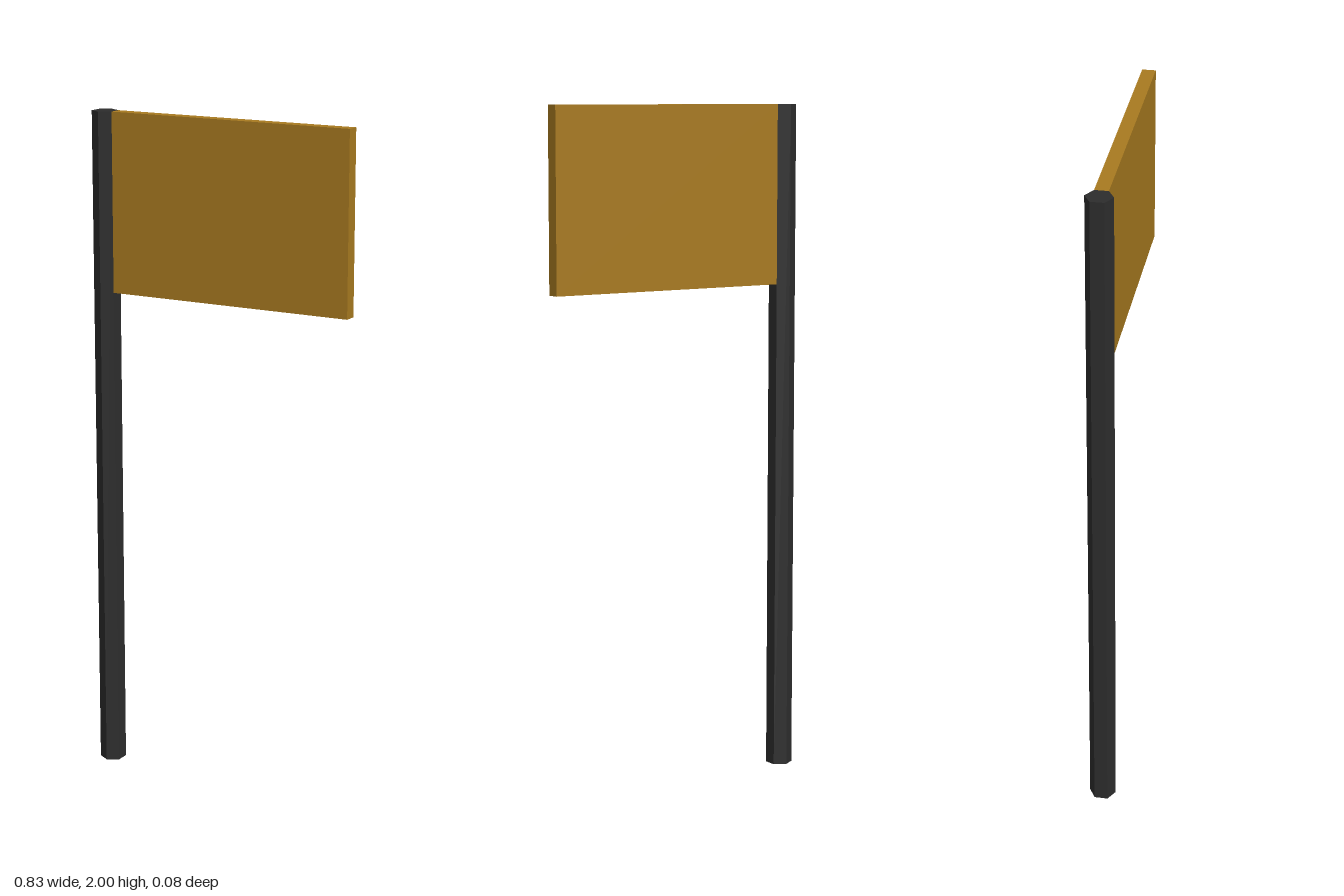
import * as THREE from 'three';

export function createModel() {
  const model = new THREE.Group();
  model.name = 'flag';

  const darkMetal = new THREE.MeshStandardMaterial({ color: 0x2d2d2d, flatShading: true });
  darkMetal.name = 'dark metal';
  const ochre = new THREE.MeshStandardMaterial({ color: 0xa87a20, flatShading: true });
  ochre.name = 'ochre';

  const height = 2;
  const poleRadius = 0.039;
  const poleX = -0.383;
  const poleSide = poleX + poleRadius * Math.cos(Math.PI / 6);
  const flagEnd = 0.417;
  const flagHeight = 0.53;

  // Six-sided pole, corners facing front and back
  const pole = new THREE.Mesh(new THREE.CylinderGeometry(poleRadius, poleRadius, height, 6), darkMetal);
  pole.name = 'pole';
  pole.position.set(poleX, height / 2, 0);

  // Stiff panel as thick as the flat pole side it meets
  const panel = new THREE.Mesh(new THREE.BoxGeometry(flagEnd - poleSide, flagHeight, poleRadius), ochre);
  panel.name = 'flagPanel';
  panel.position.set((flagEnd + poleSide) / 2, height - flagHeight / 2, 0);

  model.add(pole, panel);
  return model;
}
